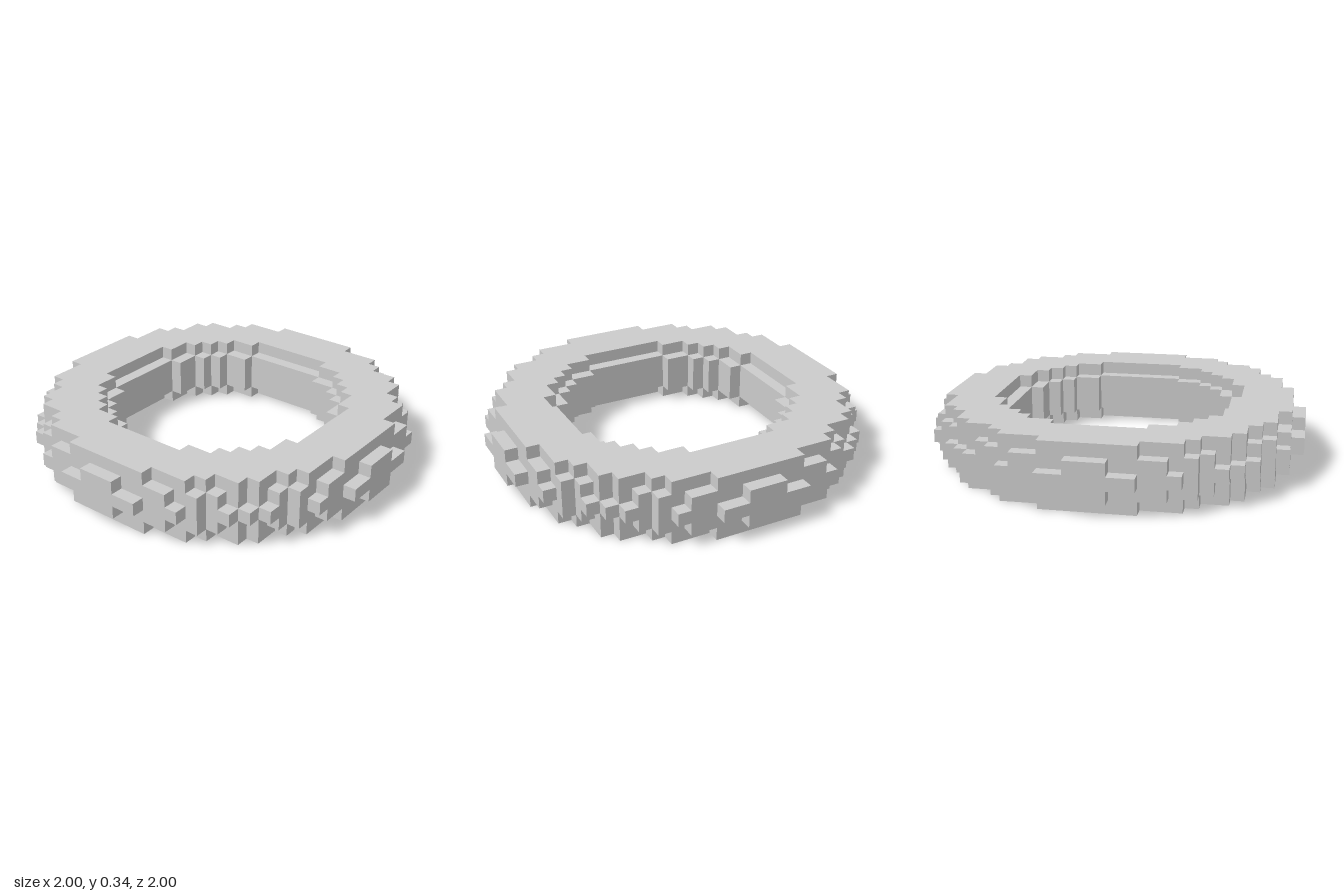
import * as THREE from 'three';
import { mergeGeometries } from 'three/addons/utils/BufferGeometryUtils.js';

const HALF = 14;                    // cells from the centre to the rim
const CELL = 2 / (2 * HALF + 1);    // edge of one cubic cell

// Inner and outer radius, in cells, by distance from the middle layer
const LAYERS = [
  { inner: 8.8, outer: 14.38 },
  { inner: 8.8, outer: 14.09 },
  { inner: 9.6, outer: 13.5 },
];

function isSolid(x, y, z) {
  const layer = LAYERS[Math.abs(y)];
  const r = Math.hypot(x, z);
  return layer !== undefined && r > layer.inner && r < layer.outer;
}

// One outward-facing square for each of the six directions of a cell
const FACES = [[1, 0, 0], [-1, 0, 0], [0, 1, 0], [0, -1, 0], [0, 0, 1], [0, 0, -1]].map((d) => {
  const dir = new THREE.Vector3(...d);
  const turn = new THREE.Quaternion().setFromUnitVectors(new THREE.Vector3(0, 0, 1), dir);
  const square = new THREE.PlaneGeometry(CELL, CELL).applyQuaternion(turn);
  square.translate(dir.x * CELL / 2, dir.y * CELL / 2, dir.z * CELL / 2);
  return { dir, square };
});

// Only the faces between a filled and an empty cell are built
function buildRing() {
  const squares = [];
  for (let y = -2; y <= 2; y++) {
    for (let x = -HALF; x <= HALF; x++) {
      for (let z = -HALF; z <= HALF; z++) {
        if (!isSolid(x, y, z)) continue;
        for (const { dir, square } of FACES) {
          if (isSolid(x + dir.x, y + dir.y, z + dir.z)) continue;
          squares.push(square.clone().translate(x * CELL, (y + 2.5) * CELL, z * CELL));
        }
      }
    }
  }
  return mergeGeometries(squares);
}

export function createModel() {
  const model = new THREE.Group();
  model.name = 'blockRing';
  const material = new THREE.MeshStandardMaterial({ color: 0xcccccc, flatShading: true });
  const ring = new THREE.Mesh(buildRing(), material);
  ring.name = 'ring';
  model.add(ring);
  return model;
}
